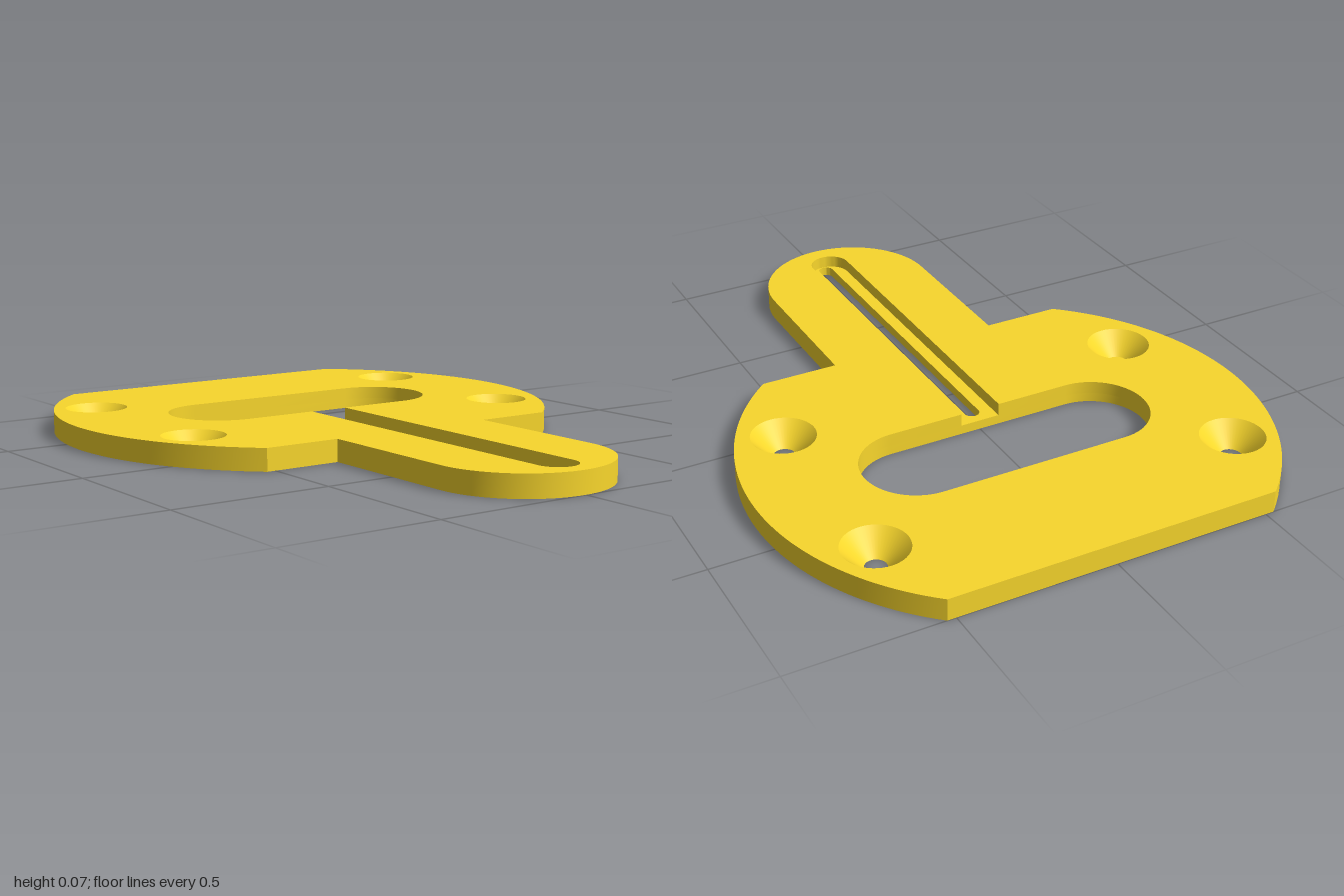
import * as THREE from 'three';
import { toCreasedNormals } from 'three/addons/utils/BufferGeometryUtils.js';

const H = 0.07;       // plate thickness
const FLOOR = 0.03;   // height of the groove floor
const HOLE_R = 0.033, SINK_R = 0.1;

// Outlines are drawn counter-clockwise in (x, -z).
function arc(cx, cy, r, a0, a1, n = 32) {
  return Array.from({ length: n + 1 }, (_, i) => {
    const a = a0 + (a1 - a0) * i / n;
    return new THREE.Vector2(cx + r * Math.cos(a), cy + r * Math.sin(a));
  });
}
const circle = (x, y, r) => arc(x, y, r, 0, Math.PI * 2, 48).slice(0, -1);
const pt = (x, y) => new THREE.Vector2(x, y);

// Flat horizontal face with holes, facing up or down
function face(outline, holes, y, up = true) {
  const shape = new THREE.Shape(outline);
  for (const h of holes) shape.holes.push(new THREE.Path(h));
  const g = new THREE.ShapeGeometry(shape).rotateX(-Math.PI / 2).translate(0, y, 0);
  if (!up) {
    const ix = g.index.array;
    for (let i = 0; i < ix.length; i += 3) [ix[i], ix[i + 1]] = [ix[i + 1], ix[i]];
    g.computeVertexNormals();
  }
  return g;
}

// Vertical wall along a closed outline; inner walls face into the opening
function wall(outline, y0, y1, inner = false) {
  const pts = inner ? [...outline].reverse() : outline;
  const pos = [];
  pts.forEach((a, i) => {
    const b = pts[(i + 1) % pts.length];
    pos.push(a.x, y0, -a.y, b.x, y0, -b.y, b.x, y1, -b.y);
    pos.push(a.x, y0, -a.y, b.x, y1, -b.y, a.x, y1, -a.y);
  });
  const g = new THREE.BufferGeometry();
  g.setAttribute('position', new THREE.Float32BufferAttribute(pos, 3));
  return toCreasedNormals(g, 0.5);
}

export function createModel() {
  const group = new THREE.Group();
  const material = new THREE.MeshStandardMaterial({ color: 0xf9d72c });
  const add = (name, geometry) => {
    const mesh = new THREE.Mesh(geometry, material);
    mesh.name = name;
    group.add(mesh);
    return mesh;
  };
  const PI = Math.PI;

  // Truncated disc with a round-ended tongue
  const cut = Math.asin(0.615 / 0.81);
  const outline = [
    ...arc(0, 0.385, 0.81, -cut, cut, 48),
    ...arc(0, 0.385, 0.81, PI - cut, PI + cut, 48),
    pt(-0.28, -0.23),
    ...arc(0, -0.72, 0.28, PI, 2 * PI, 40),
    pt(0.28, -0.23),
  ];
  // Wide window, groove opening into it, and the narrow through slot
  const windowOutline = [
    ...arc(0.305, 0.39, 0.17, -PI / 2, PI / 2),
    ...arc(-0.305, 0.39, 0.17, PI / 2, 1.5 * PI),
  ];
  const groove = [pt(-0.065, 0.22), ...arc(0, -0.88, 0.065, PI, 2 * PI, 24), pt(0.065, 0.22)];
  const slot = [
    ...arc(0, 0.166, 0.024, 0, PI, 16),
    ...arc(0, -0.918, 0.024, PI, 2 * PI, 16),
  ];
  const topOpening = [...windowOutline, ...groove];

  // Screw positions; one of them is closed at the bottom
  const screws = [
    { x: -0.593, z: -0.703 }, { x: 0.59, z: -0.703 },
    { x: -0.593, z: -0.075, blind: true }, { x: 0.59, z: -0.075 },
  ];

  add('topFace', face(outline, [topOpening, ...screws.map(s => circle(s.x, -s.z, SINK_R))], H));
  add('bottomFace', face(outline, [windowOutline, slot,
    ...screws.filter(s => !s.blind).map(s => circle(s.x, -s.z, HOLE_R))], 0, false));
  add('outerWall', wall(outline, 0, H));
  add('windowLowerWall', wall(windowOutline, 0, FLOOR, true));
  add('windowAndGrooveWall', wall(topOpening, FLOOR, H, true));
  add('grooveFloor', face(groove, [slot], FLOOR));
  add('slotWall', wall(slot, 0, FLOOR, true));

  // Conical countersinks
  for (const s of screws) {
    const bottom = s.blind ? 0.002 : 0;
    const profile = [pt(SINK_R, H), pt(HOLE_R, bottom)];
    add('countersink', new THREE.LatheGeometry(profile, 48)).position.set(s.x, 0, s.z);
    if (s.blind) add('countersinkFloor', face(circle(s.x, -s.z, HOLE_R), [], bottom));
  }
  return group;
}
